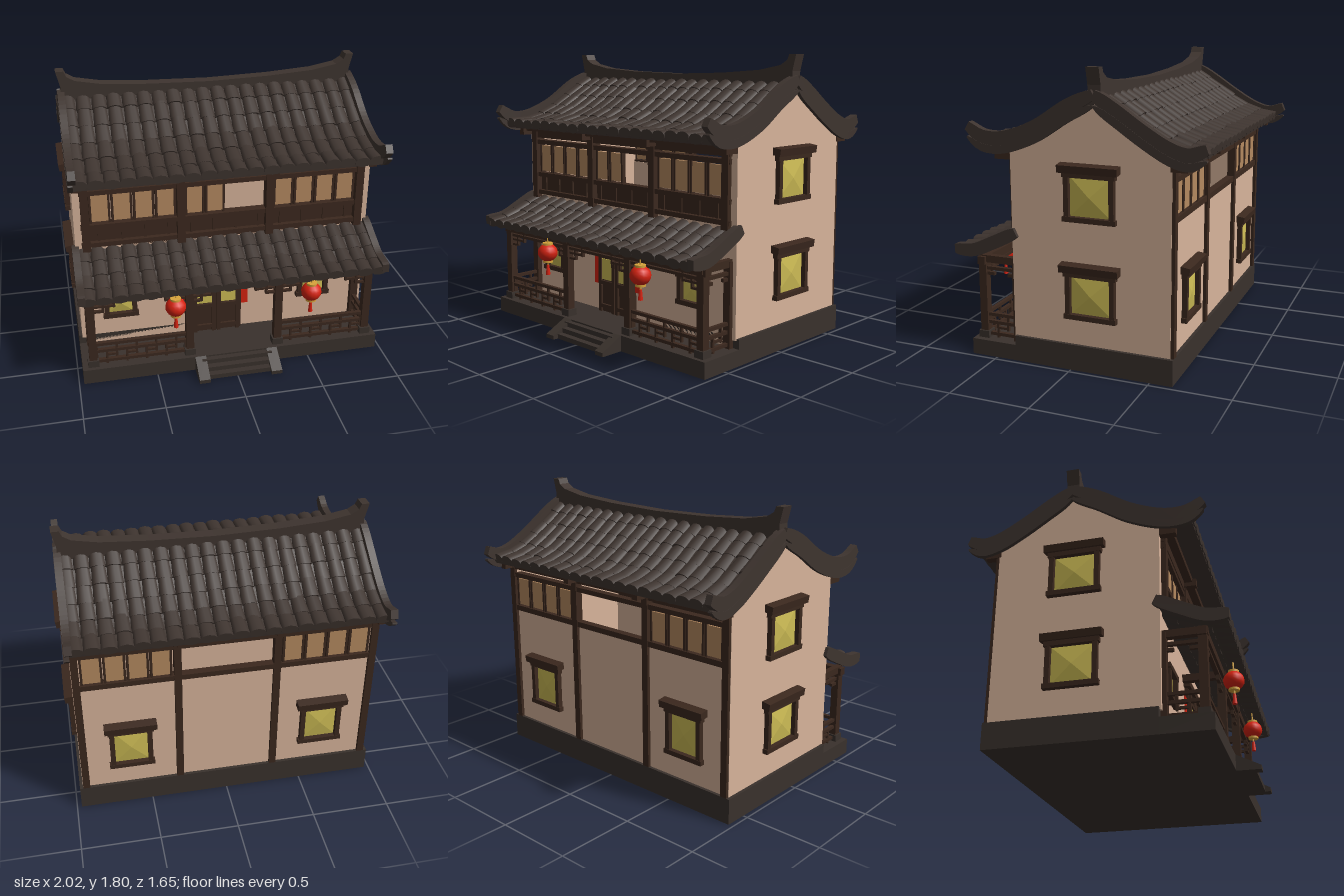
import * as THREE from 'three';
import { mergeGeometries } from 'three/addons/utils/BufferGeometryUtils.js';

const mat = (name, color, double) => {
  const m = new THREE.MeshStandardMaterial({ color });
  m.name = name;
  if (double) m.side = THREE.DoubleSide;
  return m;
};
const tileMat = mat('roof tile', 0x3e342f);
const stone = mat('stone', 0x39312c);
const timber = mat('dark timber', 0x3b281e);
const plaster = mat('plaster', 0xd8b49b, true);
const glass = mat('yellow glass', 0xcdbc55, true);
const paper = mat('paper pane', 0xb58a60);
const red = mat('red', 0xd62210);
const gold = mat('gold', 0xd8a43c);

const V = (z, y) => new THREE.Vector2(z, y);
const curveOf = pts => new THREE.SplineCurve(pts.map(p => V(...p)));

function add(parent, name, geo, material, x = 0, y = 0, z = 0) {
  const m = new THREE.Mesh(geo, material);
  m.name = name;
  m.position.set(x, y, z);
  parent.add(m);
  return m;
}
const box = (parent, name, material, w, h, d, x, y, z) =>
  add(parent, name, new THREE.BoxGeometry(w, h, d), material, x, y, z);

// Side profile in (z, y), extruded along x and centred on x = 0
function sideExtrude(shape, width) {
  const g = new THREE.ExtrudeGeometry(shape, { depth: width, bevelEnabled: false });
  return g.translate(0, 0, -width / 2).rotateY(-Math.PI / 2);
}
// Band of given thickness along a side curve, tapering near its ends if asked
function band(curve, thick, width, taper = 0) {
  const top = [], bottom = [], n = 24;
  for (let i = 0; i <= n; i++) {
    const t = i / n, p = curve.getPointAt(t), d = curve.getTangentAt(t);
    const h = thick / 2 * (1 - taper * Math.pow(Math.abs(2 * t - 1), 8));
    top.push(V(p.x - d.y * h, p.y + d.x * h));
    bottom.unshift(V(p.x + d.y * h, p.y - d.x * h));
  }
  return sideExtrude(new THREE.Shape([...top, ...bottom]), width);
}

let seed = 7;
const rand = () => (seed = (seed * 16807) % 2147483647) / 2147483647 - 0.5;

// Overlapping rounded tiles, laid in columns down a slope curve
function tiles(parent, name, curve, rows) {
  const parts = [], X = new THREE.Vector3(1, 0, 0);
  for (let r = 0; r < rows; r++) {
    const a = curve.getPointAt(r / rows), b = curve.getPointAt((r + 1) / rows);
    const dir = new THREE.Vector3(0, b.y - a.y, b.x - a.x), len = dir.length();
    dir.normalize();
    const basis = new THREE.Matrix4().makeBasis(X, dir, X.clone().cross(dir));
    for (let c = 0; c < 20; c++) {
      const g = new THREE.CylinderGeometry(0.051, 0.043, len * 1.12, 10).scale(1, 1, 0.62);
      g.applyMatrix4(basis);
      g.translate((c - 9.5) * 0.096 + rand() * 0.006, (a.y + b.y) / 2 + rand() * 0.008, (a.x + b.x) / 2);
      parts.push(g);
    }
  }
  add(parent, name, mergeGeometries(parts), tileMat);
}

// Framed window facing +z with a faceted pane and an optional hood
function windowUnit(parent, w, h, hood, x, y, z, turn = 0) {
  const g = new THREE.Group();
  g.name = 'window';
  const pane = new THREE.ConeGeometry(Math.SQRT1_2, 0.018, 4, 1, true).toNonIndexed();
  pane.rotateY(Math.PI / 4).rotateX(Math.PI / 2).scale(w, h, 1).computeVertexNormals();
  add(g, 'windowPane', pane, glass, 0, 0, 0.01);
  for (const s of [-1, 1]) {
    box(g, 'windowSide', timber, 0.03, h + 0.03, 0.04, s * w / 2, 0, 0.012);
    box(g, 'windowRail', timber, w + 0.05, 0.03, 0.045, 0, s * h / 2, 0.012);
  }
  if (hood) box(g, 'windowHood', timber, w + 0.09, 0.045, 0.07, 0, h / 2 + 0.04, 0.02).rotation.x = 0.15;
  g.position.set(x, y, z);
  g.rotation.y = turn;
  parent.add(g);
}

// Lattice railing of a given length, running along its own x
function railing(parent, len, x, z, turn = 0) {
  const g = new THREE.Group();
  g.name = 'railing';
  for (const y of [0.125, 0.2, 0.25]) box(g, 'handrail', timber, len, 0.02, 0.024, 0, y, 0);
  const n = Math.round(len / 0.065);
  for (let i = 0; i <= n; i++) {
    const px = (i / n - 0.5) * len;
    box(g, 'baluster', timber, 0.014, 0.1, 0.016, px, i % 2 ? 0.15 : 0.2, 0);
    if (i < n && i % 2) box(g, 'latticeBar', timber, len / n, 0.014, 0.016, px + len / n / 2, 0.165, 0);
  }
  g.position.set(x, 0, z);
  g.rotation.y = turn;
  parent.add(g);
}

function lantern(parent, x) {
  const g = new THREE.Group();
  g.name = 'lantern';
  add(g, 'lanternBody', new THREE.SphereGeometry(0.065, 14, 10).scale(1, 0.92, 1), red);
  for (const s of [-1, 1]) add(g, 'lanternCap', new THREE.CylinderGeometry(0.034, 0.034, 0.014, 12), gold, 0, s * 0.058, 0);
  add(g, 'lanternCord', new THREE.CylinderGeometry(0.005, 0.005, 0.07, 6), gold, 0, 0.09, 0);
  add(g, 'tasselCord', new THREE.CylinderGeometry(0.005, 0.005, 0.03, 6), gold, 0, -0.075, 0);
  add(g, 'tassel', new THREE.CylinderGeometry(0.009, 0.015, 0.065, 8), red, 0, -0.117, 0);
  g.position.set(x, 0.52, 0.7);
  parent.add(g);
}

// Row of paper panes with mullions; open slots get no pane
function paneRow(parent, x0, x1, z, open = []) {
  const n = 4, w = (x1 - x0) / n;
  for (let i = 0; i < n; i++) {
    const x = x0 + (i + 0.5) * w;
    if (open.includes(i)) continue;
    box(parent, 'paperPane', paper, w - 0.03, 0.18, 0.02, x, 1.08, z);
    for (const s of [-1, 1]) box(parent, 'paneMullion', timber, 0.014, 0.22, 0.03, x + s * (w / 2 - 0.01), 1.085, z);
  }
}

export function createModel() {
  const house = new THREE.Group();
  house.name = 'house';

  // Stone base, porch floor and steps
  box(house, 'base', stone, 1.94, 0.16, 1.01, 0, 0.08, -0.135);
  box(house, 'porchFloor', stone, 1.94, 0.1, 0.31, 0, 0.05, 0.515);
  for (let i = 0; i < 3; i++) box(house, 'step', stone, 0.46, 0.03, 0.16 - i * 0.04, 0.015, 0.015 + i * 0.03, 0.705 - i * 0.02);
  const cheek = new THREE.Shape([V(0.6, 0), V(0.82, 0), V(0.82, 0.025), V(0.67, 0.1), V(0.6, 0.1)]);
  for (const x of [-0.22, 0.25]) add(house, 'stepCheek', sideExtrude(cheek, 0.07), stone, x);

  // Plaster walls
  const gable = new THREE.Shape([[-0.62, 0.15], [0.38, 0.15], [0.38, 1.33], [0.2, 1.4], [0, 1.51],
    [-0.16, 1.59], [-0.3, 1.51], [-0.45, 1.41], [-0.62, 1.32]].map(p => V(...p)));
  for (const s of [-1, 1]) {
    add(house, 'gableWall', sideExtrude(gable, 0.05), plaster, s * 0.925);
    for (const y of [0.47, 1.06]) windowUnit(house, 0.28, 0.26, true, s * 0.95, y, -0.13, s * Math.PI / 2);
    windowUnit(house, 0.24, 0.27, true, s * 0.62, 0.46, -0.62, Math.PI);
  }
  box(house, 'frontWall', plaster, 1.82, 0.74, 0.04, 0, 0.47, 0.35);
  box(house, 'backWall', plaster, 1.82, 0.82, 0.04, 0, 0.56, -0.6);
  windowUnit(house, 0.18, 0.17, false, -0.69, 0.39, 0.37);
  windowUnit(house, 0.18, 0.17, false, 0.605, 0.39, 0.37);

  // Timber frame of the front upper storey
  box(house, 'lowerPanel', timber, 1.82, 0.16, 0.03, 0, 0.88, 0.355);
  for (const [y, h] of [[0.84, 0.03], [0.965, 0.03], [1.195, 0.03], [1.255, 0.06]])
    box(house, 'frontBeam', timber, 1.82, h, 0.06, 0, y, 0.37);
  for (const x of [-0.88, -0.285, 0.285, 0.88]) box(house, 'frontPost', timber, 0.05, 0.5, 0.07, x, 1.05, 0.375);
  for (let i = 0; i < 12; i++) box(house, 'panelBatten', timber, 0.014, 0.13, 0.02, -0.8 + i * 0.1455, 0.9, 0.37);
  paneRow(house, -0.855, -0.31, 0.365);
  paneRow(house, -0.26, 0.26, 0.365, [2, 3]);
  paneRow(house, 0.31, 0.855, 0.365);

  // Timber frame of the back
  for (const [y, h] of [[0.965, 0.035], [1.195, 0.03], [1.265, 0.06]])
    box(house, 'backBeam', timber, 1.86, h, 0.05, 0, y, -0.61);
  for (const x of [-0.925, -0.31, 0.31, 0.925]) box(house, 'backPost', timber, 0.045, 1.14, 0.05, x, 0.73, -0.615);
  paneRow(house, -0.9, -0.34, -0.61);
  paneRow(house, 0.34, 0.9, -0.61);

  // Double door with red strips beside it
  box(house, 'doorPanel', timber, 0.34, 0.48, 0.03, -0.06, 0.34, 0.375);
  box(house, 'doorLintel', timber, 0.4, 0.04, 0.06, -0.06, 0.59, 0.38);
  for (const s of [-1, 1]) {
    const x = -0.06 + s * 0.08;
    for (const e of [-1, 1]) box(house, 'doorStile', timber, 0.025, 0.46, 0.02, x + e * 0.063, 0.33, 0.395);
    box(house, 'doorGlass', glass, 0.1, 0.14, 0.008, x, 0.39, 0.393);
    for (const y of [0.14, 0.3, 0.48]) box(house, 'doorRail', timber, 0.13, 0.025, 0.02, x, y, 0.395);
    box(house, 'redStrip', red, 0.045, 0.22, 0.008, -0.06 + s * 0.195, 0.39, 0.378);
  }

  // Porch posts, beams, brackets, railings and lanterns
  for (const x of [-0.9, -0.28, 0.3, 0.9]) {
    box(house, 'porchPost', timber, 0.05, 0.52, 0.05, x, 0.36, 0.61);
    box(house, 'postFoot', stone, 0.07, 0.05, 0.07, x, 0.12, 0.61);
    box(house, 'crossBeam', timber, 0.04, 0.045, 0.28, x, 0.61, 0.5);
    for (const s of [-1, 1]) {
      if (Math.abs(x + s * 0.1) > 0.95) continue;
      box(house, 'bracketBar', timber, 0.13, 0.014, 0.02, x + s * 0.085, 0.525, 0.61);
      box(house, 'bracketStep', timber, 0.06, 0.014, 0.02, x + s * 0.05, 0.49, 0.61);
      for (const [d, y] of [[0.15, 0.545], [0.08, 0.515]]) box(house, 'bracketPin', timber, 0.014, 0.06, 0.02, x + s * d, y, 0.61);
    }
  }
  box(house, 'porchBeam', timber, 1.88, 0.05, 0.05, 0, 0.6, 0.61);
  box(house, 'porchRail', timber, 1.8, 0.018, 0.025, 0, 0.555, 0.61);
  railing(house, 0.57, -0.59, 0.61);
  railing(house, 0.55, 0.6, 0.61);
  for (const s of [-1, 1]) {
    railing(house, 0.21, s * 0.9, 0.49, Math.PI / 2);
    box(house, 'sideRail', timber, 0.025, 0.02, 0.22, s * 0.9, 0.55, 0.49);
    for (const z of [0.415, 0.565]) box(house, 'sideBracket', timber, 0.02, 0.02, 0.06, s * 0.9, 0.515, z);
    box(house, 'wallPost', timber, 0.05, 0.52, 0.04, s * 0.9, 0.36, 0.385);
  }
  lantern(house, -0.38);
  lantern(house, 0.49);

  // Main roof: slab, tiles on both slopes, upturned gable boards
  const front = [[-0.16, 1.63], [0, 1.545], [0.2, 1.425], [0.4, 1.35], [0.58, 1.335]];
  const back = [[-0.16, 1.63], [-0.3, 1.54], [-0.45, 1.44], [-0.6, 1.36], [-0.76, 1.325]];
  for (const pts of [front, back]) {
    const c = curveOf(pts);
    add(house, 'roofSlab', band(c, 0.035, 1.9), tileMat, 0, -0.015);
    tiles(house, pts === front ? 'frontRoofTiles' : 'backRoofTiles', c, 6);
  }
  const edges = [
    [[-0.16, 1.64], [0, 1.565], [0.2, 1.44], [0.4, 1.365], [0.55, 1.365], [0.65, 1.425]],
    [[-0.82, 1.375], [-0.72, 1.335], [-0.6, 1.365], [-0.45, 1.45], [-0.3, 1.55], [-0.16, 1.64]]];
  for (const s of [-1, 1]) for (const pts of edges) {
    const c = curveOf(pts);
    add(house, 'gableBoard', band(c, 0.085, 0.045, 0.35), tileMat, s * 0.95, 0.01);
    add(house, 'gableTrim', band(c, 0.05, 0.03, 0.8), tileMat, s * 0.96, -0.055);
  }
  for (const z of [0.43, -0.66]) {
    box(house, 'eaveBeam', timber, 1.9, 0.045, 0.05, 0, 1.295, z);
    for (const x of [-0.93, -0.3, 0.3, 0.93]) box(house, 'eaveBracket', timber, 0.045, 0.05, 0.1, x, 1.27, z);
  }

  // Ridge sweeping up at both ends
  const half = [[0, 1.675], [0.4, 1.685], [0.7, 1.705], [0.86, 1.735], [0.91, 1.765], [0.925, 1.8], [0.975, 1.8], [0.95, 1.7], [0.95, 1.61]];
  const ridge = new THREE.Shape([...half.map(p => V(...p)), ...half.slice(1).reverse().map(([x, y]) => V(-x, y))]);
  add(house, 'ridge', new THREE.ExtrudeGeometry(ridge, { depth: 0.08, bevelEnabled: false }), tileMat, 0, 0, -0.2);

  // Porch roof
  const porch = curveOf([[0.36, 0.79], [0.5, 0.735], [0.62, 0.685], [0.76, 0.66]]);
  add(house, 'porchRoofSlab', band(porch, 0.03, 1.9), tileMat, 0, -0.01);
  tiles(house, 'porchRoofTiles', porch, 4);
  const porchEdge = curveOf([[0.35, 0.81], [0.5, 0.735], [0.64, 0.675], [0.77, 0.67]]);
  for (const s of [-1, 1]) add(house, 'porchGableBoard', band(porchEdge, 0.08, 0.045, 0.3), tileMat, s * 0.95);

  return house;
}
